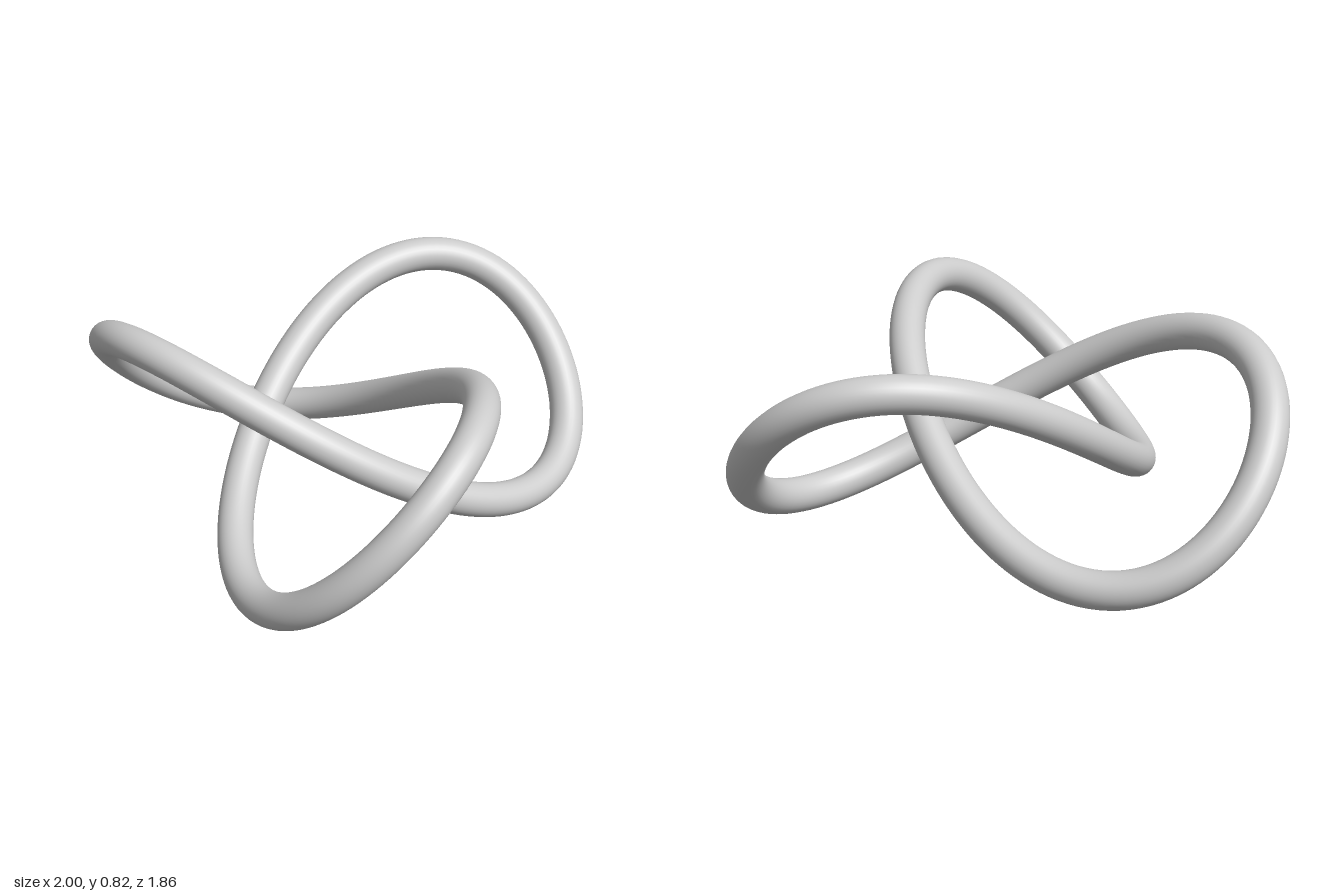
import * as THREE from 'three';

const SIZE = 0.3406;          // scale of the knot's centre line
const TUBE = 0.2 * SIZE;      // tube radius

// Trefoil centre line, lying flat with one lobe towards the front
class TrefoilCurve extends THREE.Curve {
  getPoint(u, target = new THREE.Vector3()) {
    const t = u * Math.PI * 2;
    return target.set(
      Math.sin(t) + 2 * Math.sin(2 * t),
      1.2 - Math.sin(3 * t),                                // lowest tube point rests on y = 0
      2 * Math.cos(2 * t) - Math.cos(t) - 0.46875           // centred in depth
    ).multiplyScalar(SIZE);
  }
}

export function createModel() {
  const group = new THREE.Group();
  group.name = 'trefoilKnot';

  // One continuous closed tube
  const curve = new TrefoilCurve();
  curve.arcLengthDivisions = 1000;
  const knot = new THREE.Mesh(
    new THREE.TubeGeometry(curve, 300, TUBE, 32, true),
    new THREE.MeshStandardMaterial({ color: 0xcccccc })
  );
  knot.name = 'knotTube';
  group.add(knot);
  return group;
}
